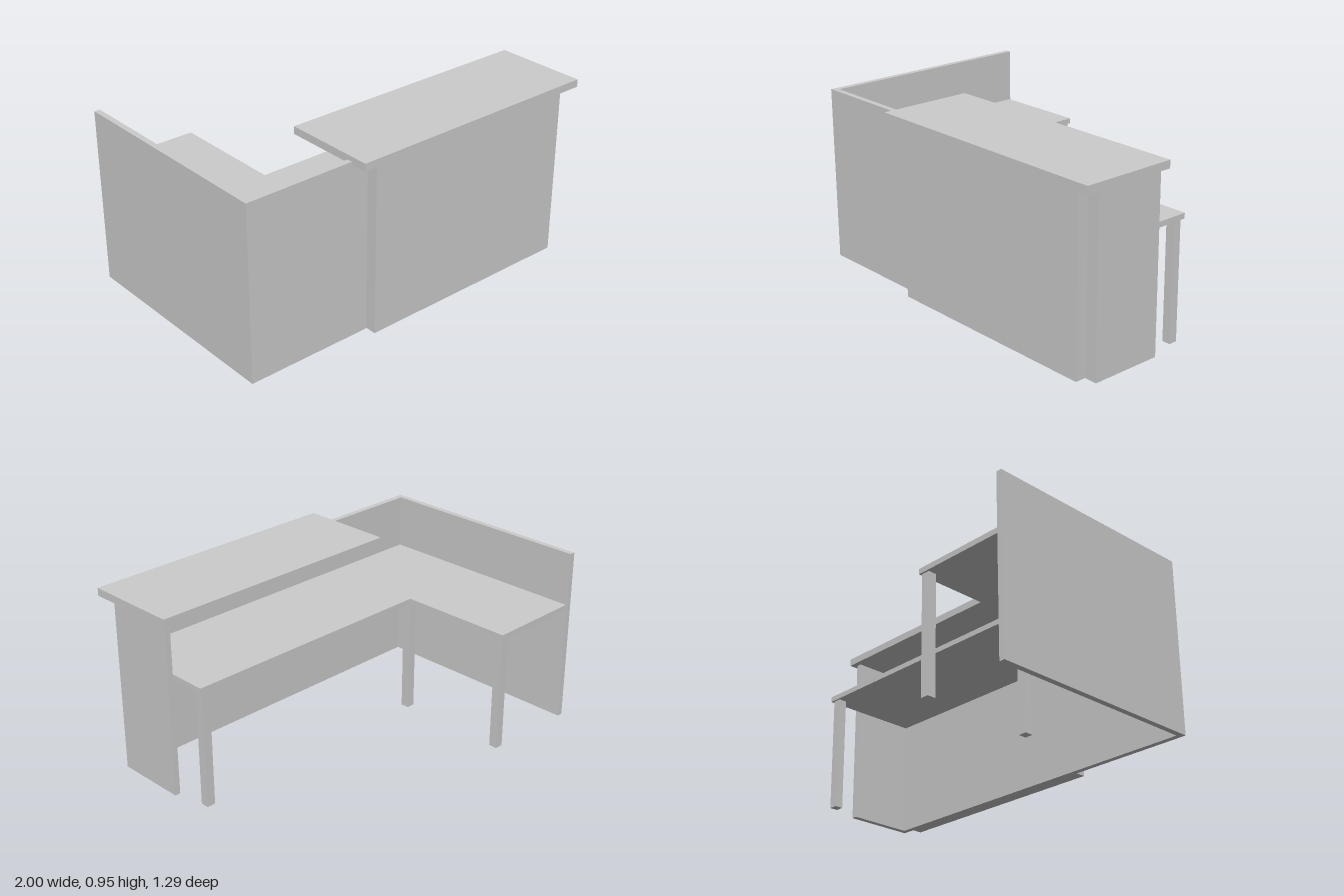
import * as THREE from 'three';

const material = new THREE.MeshStandardMaterial({ color: 0xcccccc, flatShading: true });

// Box given by its extents along each axis
function slab(name, [x0, x1], [y0, y1], [z0, z1]) {
  const mesh = new THREE.Mesh(new THREE.BoxGeometry(x1 - x0, y1 - y0, z1 - z0), material);
  mesh.name = name;
  mesh.position.set((x0 + x1) / 2, (y0 + y1) / 2, (z0 + z1) / 2);
  return mesh;
}

// L-shaped worktop, drawn in plan (shape y = -z) and extruded upward
function worktop(bottom, thickness) {
  const plan = [
    [-0.97, 0.525], [0.945, 0.525], [0.945, -0.025],
    [-0.46, -0.025], [-0.46, -0.64], [-0.97, -0.64],
  ].map(([x, z]) => new THREE.Vector2(x, -z));
  const geometry = new THREE.ExtrudeGeometry(new THREE.Shape(plan), { depth: thickness, bevelEnabled: false });
  geometry.rotateX(-Math.PI / 2);
  const mesh = new THREE.Mesh(geometry, material);
  mesh.name = 'worktop';
  mesh.position.y = bottom;
  return mesh;
}

export function createModel() {
  const desk = new THREE.Group();
  desk.name = 'receptionDesk';

  // Privacy walls
  desk.add(slab('sideWall', [-1, -0.97], [0, 0.93], [-0.645, 0.555]));
  desk.add(slab('frontWall', [-0.97, 0.945], [0, 0.93], [0.525, 0.555]));
  desk.add(slab('endPanel', [0.945, 0.975], [0, 0.915], [0.175, 0.555]));

  // Raised front panel and the visitor counter over it
  desk.add(slab('frontPanel', [-0.315, 0.91], [0.003, 0.915], [0.555, 0.615]));
  desk.add(slab('counterTop', [-0.41, 1], [0.915, 0.955], [0.145, 0.645]));

  // Work surface on three square legs
  desk.add(worktop(0.62, 0.028));
  const leg = 0.045;
  for (const [x, z] of [[0.885, -0.015], [-0.515, -0.015], [-0.515, -0.63]]) {
    desk.add(slab('leg', [x, x + leg], [0, 0.62], [z, z + leg]));
  }

  return desk;
}
